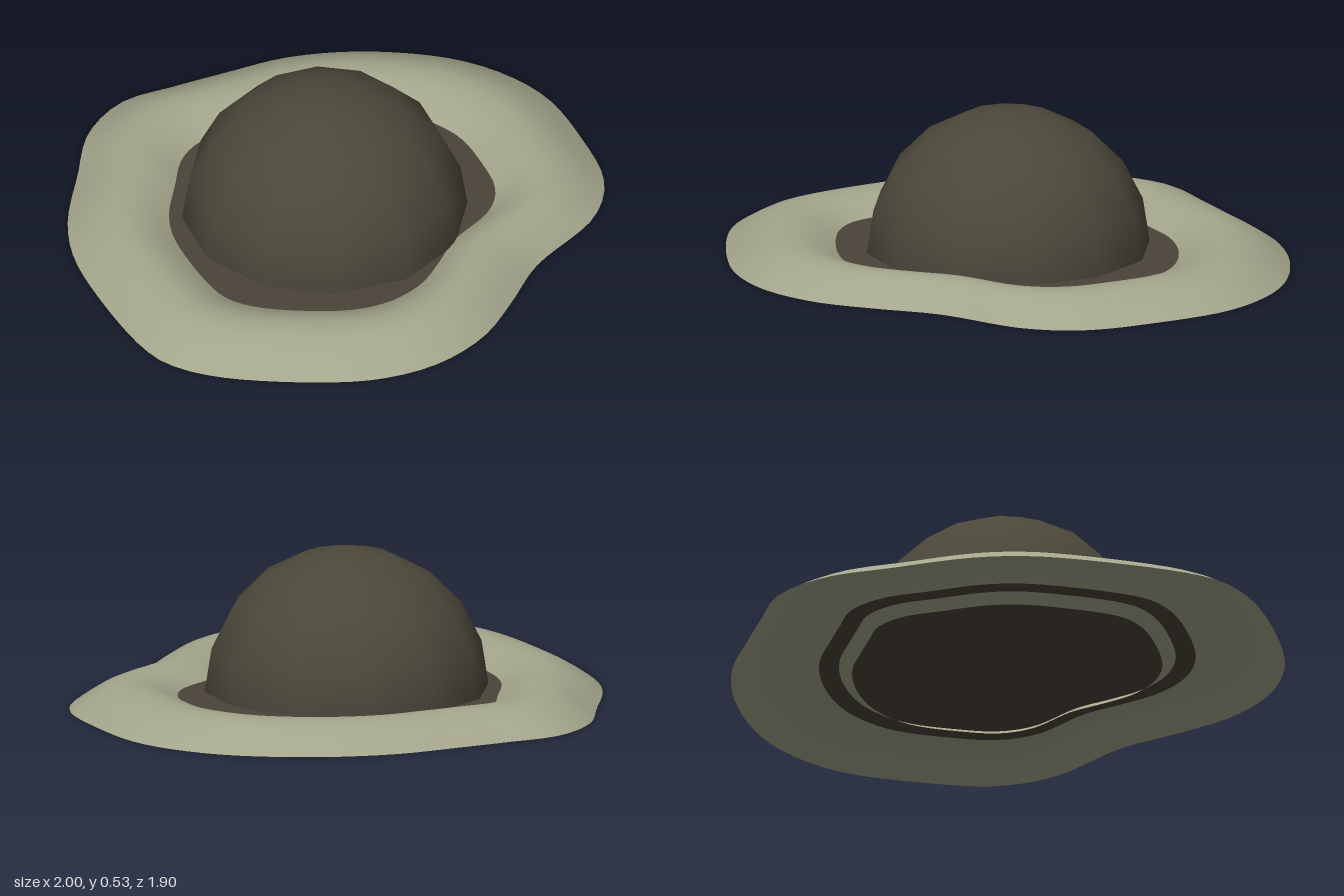
import * as THREE from 'three';

// Wavy outer outline as [x, z], starting at the back and going round by the left side
const OUTLINE = [
  [-0.22, -0.955], [-0.02, -0.925], [0.165, -0.89], [0.41, -0.835], [0.67, -0.69], [0.9, -0.45],
  [1.0, -0.16], [0.96, 0.16], [0.88, 0.4], [0.73, 0.55], [0.4, 0.67], [0.2, 0.8],
  [0.01, 0.905], [-0.21, 0.945], [-0.42, 0.905], [-0.61, 0.8], [-0.89, 0.56],
  [-0.985, 0.4], [-1.0, 0.27], [-0.957, -0.05], [-0.89, -0.3], [-0.79, -0.48],
  [-0.6, -0.69], [-0.42, -0.875],
];
const CENTER = new THREE.Vector3(-0.035, 0, 0.015);
const SEGMENTS = 96;
const FLOOR_Y = 0.03;

// Outline points scaled toward the centre
function outlineAt(scale) {
  const curve = new THREE.CatmullRomCurve3(
    OUTLINE.map(([x, z]) => new THREE.Vector3(x, 0, z)), true);
  return curve.getSpacedPoints(SEGMENTS).slice(0, SEGMENTS)
    .map((p) => p.sub(CENTER).multiplyScalar(scale).add(CENTER));
}

// Open shell rim: a sine-shaped hump lofted between outer and inner outlines
function rimGeometry(innerScale, height, steps) {
  const positions = [];
  const index = [];
  for (let j = 0; j <= steps; j++) {
    const t = j / steps;
    const y = height * Math.sin(Math.PI * t);
    for (const p of outlineAt(1 - (1 - innerScale) * t)) positions.push(p.x, y, p.z);
  }
  for (let j = 0; j < steps; j++) {
    for (let i = 0; i < SEGMENTS; i++) {
      const n = (i + 1) % SEGMENTS;
      const a = j * SEGMENTS + i, b = j * SEGMENTS + n;
      const c = a + SEGMENTS, d = b + SEGMENTS;
      index.push(a, c, b, b, c, d);
    }
  }
  const geometry = new THREE.BufferGeometry();
  geometry.setAttribute('position', new THREE.Float32BufferAttribute(positions, 3));
  geometry.setIndex(index);
  geometry.computeVertexNormals();
  return geometry;
}

export function createModel() {
  const rimMaterial = new THREE.MeshStandardMaterial({ color: 0xa3a58b, side: THREE.DoubleSide });
  rimMaterial.name = 'pale olive';
  const floorMaterial = new THREE.MeshStandardMaterial({ color: 0x4b4338, side: THREE.DoubleSide });
  floorMaterial.name = 'dark brown';
  const domeMaterial = new THREE.MeshStandardMaterial({ color: 0x4b473a });
  domeMaterial.name = 'dark olive brown';

  const group = new THREE.Group();
  group.name = 'domeInWavyRim';
  const add = (name, geometry, material) => {
    const mesh = new THREE.Mesh(geometry, material);
    mesh.name = name;
    group.add(mesh);
    return mesh;
  };

  // Wavy raised rim
  add('rim', rimGeometry(0.56, 0.09, 14), rimMaterial);

  // Flat floor whose edge tucks under the rim
  const floorShape = new THREE.Shape(outlineAt(0.68).map((p) => new THREE.Vector2(p.x, -p.z)));
  const floor = add('floor', new THREE.ShapeGeometry(floorShape), floorMaterial);
  floor.rotation.x = -Math.PI / 2;
  floor.position.y = FLOOR_Y;

  // Twelve-sided half dome
  const dome = add('dome',
    new THREE.SphereGeometry(0.5, 12, 5, 0, Math.PI * 2, 0, Math.PI / 2), domeMaterial);
  dome.position.set(-0.035, FLOOR_Y, 0.005);

  return group;
}
